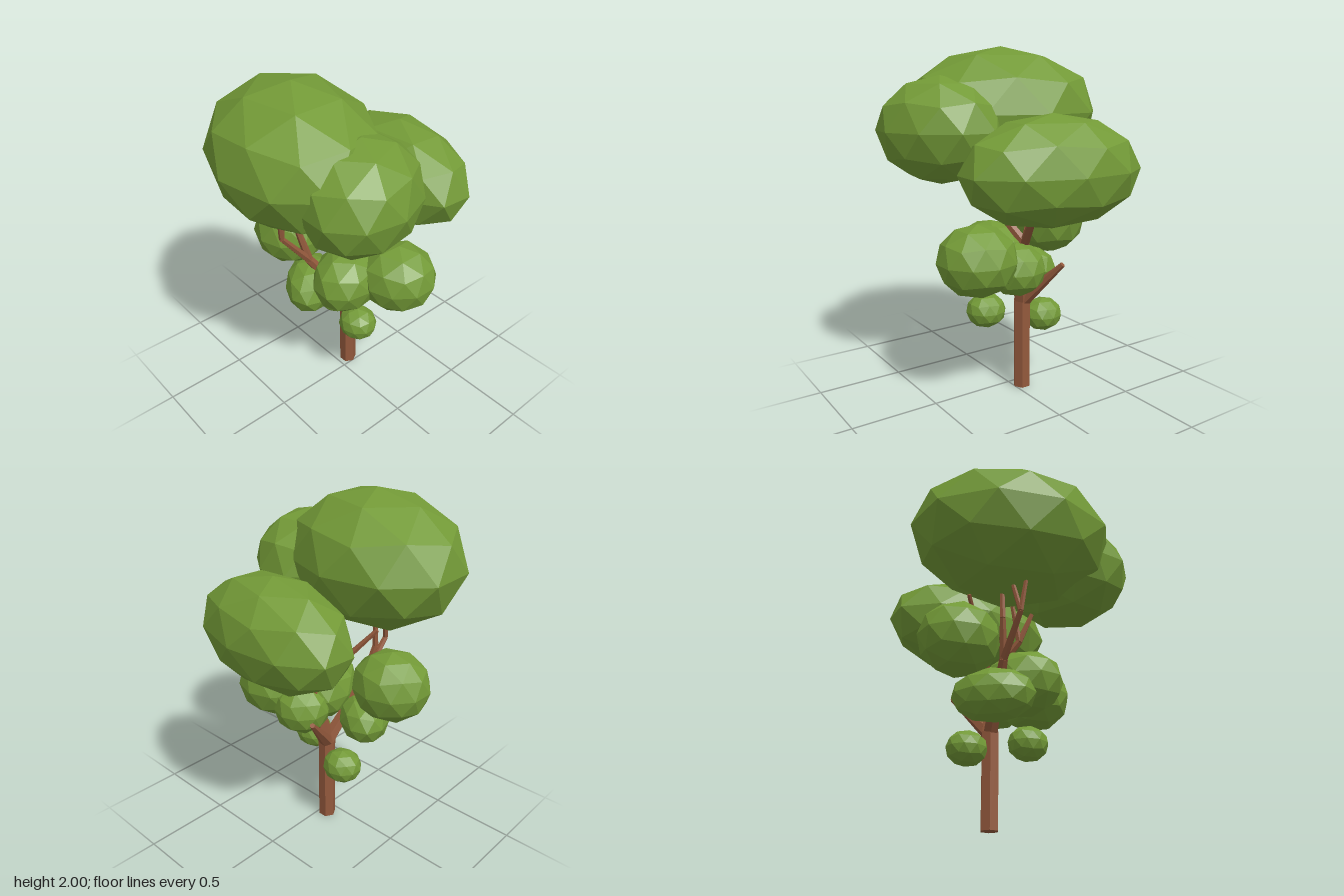
import * as THREE from 'three';

export function createModel() {
  const tree = new THREE.Group();
  tree.name = 'tree';
  const bark = new THREE.MeshStandardMaterial({ color: 0x93593c, flatShading: true });
  bark.name = 'bark brown';
  const leaf = new THREE.MeshStandardMaterial({ color: 0x739a37, flatShading: true });
  leaf.name = 'leaf green';

  // Faceted ball with a corner at the top, shared by all foliage
  const ball = new THREE.IcosahedronGeometry(1, 1);
  ball.rotateZ(-Math.atan(2 / (1 + Math.sqrt(5))));
  ball.rotateY(Math.PI / 2);

  // Foliage: name, centre, radii, yaw, turn of the facets before stretching
  const clumps = [
    ['crownBack', [-0.25, 1.62, -0.115], [0.459, 0.38, 0.593], -0.32, 0.285],
    ['crownFront', [-0.19, 1.53, 0.33], [0.386, 0.303, 0.318], 0.48, -0.115],
    ['crownLeft', [0.413, 1.34, 0], [0.303, 0.302, 0.528], -0.11, 0.02],
    ['middleFrontClump', [0.145, 0.845, 0.3], [0.222, 0.205, 0.232], 0, 0],
    ['middleClump', [-0.05, 0.82, 0.09], [0.252, 0.193, 0.195], 0.35, 0],
    ['middleLeftClump', [0.17, 0.765, 0.06], [0.165, 0.153, 0.168], 0, 0],
    ['middleBackClump', [-0.11, 0.955, -0.37], [0.22, 0.207, 0.232], 0, 0],
    ['lowerRightClump', [-0.13, 0.675, -0.16], [0.235, 0.15, 0.155], Math.PI / 4, 0],
    ['smallFrontClump', [-0.02, 0.485, 0.145], [0.112, 0.102, 0.12], 0, 0],
    ['smallBackClump', [0.09, 0.43, -0.187], [0.112, 0.1, 0.118], 0, 0],
  ];
  for (const [name, centre, radii, yaw, turn] of clumps) {
    const mesh = new THREE.Mesh(ball.clone().rotateY(turn), leaf);
    mesh.name = name;
    mesh.position.set(...centre);
    mesh.scale.set(...radii);
    mesh.rotation.y = yaw;
    tree.add(mesh);
  }

  // Tapered limb between two points
  const up = new THREE.Vector3(0, 1, 0);
  function limb(name, from, to, r0, r1) {
    const a = new THREE.Vector3(...from);
    const dir = new THREE.Vector3(...to).sub(a);
    const length = dir.length();
    const geometry = new THREE.CylinderGeometry(r1, r0, length, 6);
    geometry.translate(0, length / 2, 0);
    const mesh = new THREE.Mesh(geometry, bark);
    mesh.name = name;
    mesh.position.copy(a);
    mesh.quaternion.setFromUnitVectors(up, dir.normalize());
    tree.add(mesh);
  }

  // Trunk and the forks where branches split
  const top = [0.073, 0.53, -0.047];
  const leftFork = [0.155, 0.905, -0.005];
  const rightFork = [-0.17, 0.88, -0.12];
  const outerFork = [-0.35, 1.1, -0.13];
  const innerFork = [0.005, 1.12, 0.11];
  const bend = [-0.22, 1.1, -0.16];
  limb('trunk', [0.073, 0, -0.047], [0.073, 0.54, -0.047], 0.052, 0.052);
  limb('leftLimb', top, leftFork, 0.05, 0.031);
  limb('rightLimb', top, rightFork, 0.045, 0.027);
  limb('stubBranch', top, [0.31, 0.79, -0.16], 0.044, 0.015);

  // Branches reaching into the crowns
  limb('crownLeftBranch', leftFork, [0.38, 1.15, 0.08], 0.028, 0.018);
  limb('backBranch', leftFork, [-0.07, 1.28, -0.29], 0.026, 0.013);
  limb('innerBranch', leftFork, innerFork, 0.03, 0.021);
  limb('innerTwig', innerFork, [-0.06, 1.38, 0.2], 0.02, 0.012);
  limb('innerTwig', innerFork, [0.01, 1.38, 0.06], 0.019, 0.012);
  limb('outerBranch', rightFork, outerFork, 0.024, 0.017);
  limb('outerTwig', outerFork, [-0.39, 1.38, -0.1], 0.016, 0.011);
  limb('outerTwig', outerFork, [-0.29, 1.38, -0.17], 0.016, 0.011);
  limb('uprightBranch', rightFork, bend, 0.025, 0.018);
  limb('uprightTwig', bend, [-0.21, 1.38, -0.16], 0.018, 0.013);

  return tree;
}
